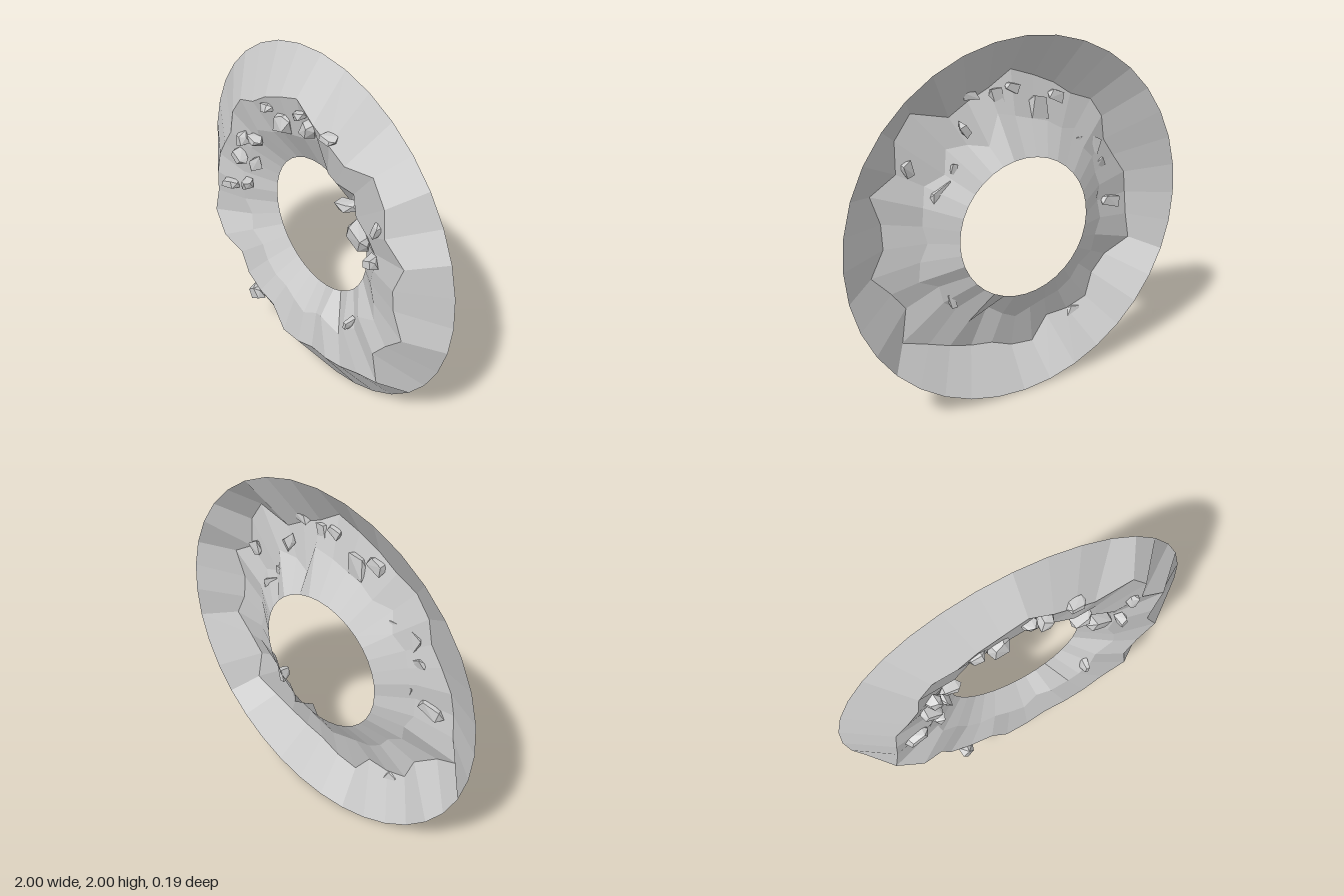
import * as THREE from 'three';
import { ConvexGeometry } from 'three/addons/geometries/ConvexGeometry.js';

// Small seeded generator for the irregular stone
let seed = 7;
function rand() {
  seed = (seed * 16807) % 2147483647;
  return seed / 2147483647;
}

const SEGMENTS = 36;
const BACK = -0.1;

// Radii every 10 degrees, counter-clockwise from +x
const ridgeRadii = [
  0.74, 0.75, 0.84, 0.75, 0.84, 0.865, 0.71, 0.72, 0.74,
  0.81, 0.775, 0.755, 0.735, 0.77, 0.75, 0.69, 0.71, 0.755,
  0.765, 0.79, 0.865, 0.773, 0.72, 0.784, 0.75, 0.70, 0.807,
  0.778, 0.735, 0.75, 0.77, 0.80, 0.868, 0.73, 0.755, 0.825,
];
const ledgeRadii = [
  0.52, 0.55, 0.57, 0.59, 0.53, 0.61, 0.54, 0.48, 0.62,
  0.58, 0.56, 0.56, 0.55, 0.59, 0.54, 0.56, 0.54, 0.56,
  0.55, 0.57, 0.55, 0.58, 0.54, 0.56, 0.56, 0.54, 0.55,
  0.575, 0.53, 0.50, 0.60, 0.555, 0.57, 0.53, 0.61, 0.57,
];

// Open ring: outer edge, jagged ridge, broken ledge, hole edge
function craterGeometry() {
  const ring = (radius, depth) => Array.from({ length: SEGMENTS }, (_, i) => {
    const a = (i / SEGMENTS) * Math.PI * 2;
    const r = radius(i);
    return new THREE.Vector3(r * Math.cos(a), r * Math.sin(a), depth(i));
  });
  const rows = [
    ring(() => 1, () => BACK),
    ring(i => ridgeRadii[i], i => (i === 21 ? 0.09 : 0.04 + rand() * 0.015)),
    ring(i => ledgeRadii[i], () => -0.02 + rand() * 0.045),
    ring(() => 0.385, () => BACK),
  ];
  const positions = [], normals = [];
  // Each four-sided facet has one shared normal
  for (let row = 0; row < 3; row++) {
    for (let i = 0; i < SEGMENTS; i++) {
      const j = (i + 1) % SEGMENTS;
      const a = rows[row][i], b = rows[row][j];
      const c = rows[row + 1][i], d = rows[row + 1][j];
      const diagonal = d.clone().sub(a);
      const normal = b.clone().sub(c).cross(diagonal).negate().normalize();
      if (normal.z < 0) normal.negate();
      for (const p of [a, b, c, b, d, c]) {
        positions.push(p.x, p.y, p.z);
        normals.push(normal.x, normal.y, normal.z);
      }
    }
  }
  const geometry = new THREE.BufferGeometry();
  geometry.setAttribute('position', new THREE.Float32BufferAttribute(positions, 3));
  geometry.setAttribute('normal', new THREE.Float32BufferAttribute(normals, 3));
  return geometry;
}

// Chipped block: hull of a box with shifted corners
function rockGeometry(w, h, d) {
  const points = [];
  for (const x of [-1, 1]) for (const y of [-1, 1]) for (const z of [-1, 1]) {
    const taper = z > 0 ? 0.6 : 0.85;
    points.push(new THREE.Vector3(
      x * w * 0.5 * taper * (0.6 + rand() * 0.6),
      y * h * 0.5 * taper * (0.6 + rand() * 0.6),
      z * d * 0.5 * (0.5 + rand() * 0.6)));
  }
  points.push(new THREE.Vector3(w * 0.5, h * 0.1, 0), new THREE.Vector3(-w * 0.5, -h * 0.1, 0));
  return new ConvexGeometry(points);
}

// Loose rocks: x, y, z, width, height, tilt
const rocks = [
  [-0.26, 1.645, 0.035, 0.10, 0.07, 0.3],
  [-0.145, 1.615, 0.03, 0.12, 0.15, 0.1],
  [0.01, 1.725, 0.045, 0.08, 0.06, 0.4],
  [0.09, 1.69, 0.045, 0.08, 0.11, -0.3],
  [0.245, 1.71, 0.05, 0.10, 0.05, 0],
  [0.30, 1.56, -0.005, 0.04, 0.09, -0.6],
  [0.325, 1.36, 0.005, 0.12, 0.08, 0.3],
  [0.59, 1.39, 0.035, 0.06, 0.10, -0.2],
  [0.43, 1.24, 0.01, 0.15, 0.12, -0.4],
  [0.56, 1.175, 0.035, 0.06, 0.08, 0.2],
  [-0.41, 1.377, 0.025, 0.12, 0.06, 0],
  [-0.508, 1.34, 0.035, 0.09, 0.09, 0.4],
  [-0.535, 1.215, 0.035, 0.12, 0.06, -0.4],
  [-0.445, 1.195, 0.01, 0.045, 0.09, 0.4],
  [-0.503, 1.045, 0.025, 0.075, 0.08, 0.3],
  [-0.65, 0.98, 0.04, 0.15, 0.08, 0.3],
  [-0.41, 0.32, 0.05, 0.08, 0.11, 0.4],
  [0.395, 0.64, 0.015, 0.04, 0.09, -0.2],
];

export function createModel() {
  const group = new THREE.Group();
  group.name = 'crater';

  const stone = new THREE.MeshStandardMaterial({ color: 0xcccccc, side: THREE.DoubleSide });
  stone.name = 'light grey stone';

  const rim = new THREE.Mesh(craterGeometry(), stone);
  rim.name = 'craterRim';
  rim.position.y = 1;
  group.add(rim);

  // Scattered debris
  const debris = new THREE.Group();
  debris.name = 'debris';
  rocks.forEach(([x, y, z, w, h, tilt], i) => {
    const rock = new THREE.Mesh(rockGeometry(w, h, 0.07), stone);
    rock.name = `rock${i + 1}`;
    rock.position.set(x, y, z);
    rock.rotation.z = tilt;
    debris.add(rock);
  });
  group.add(debris);
  return group;
}
